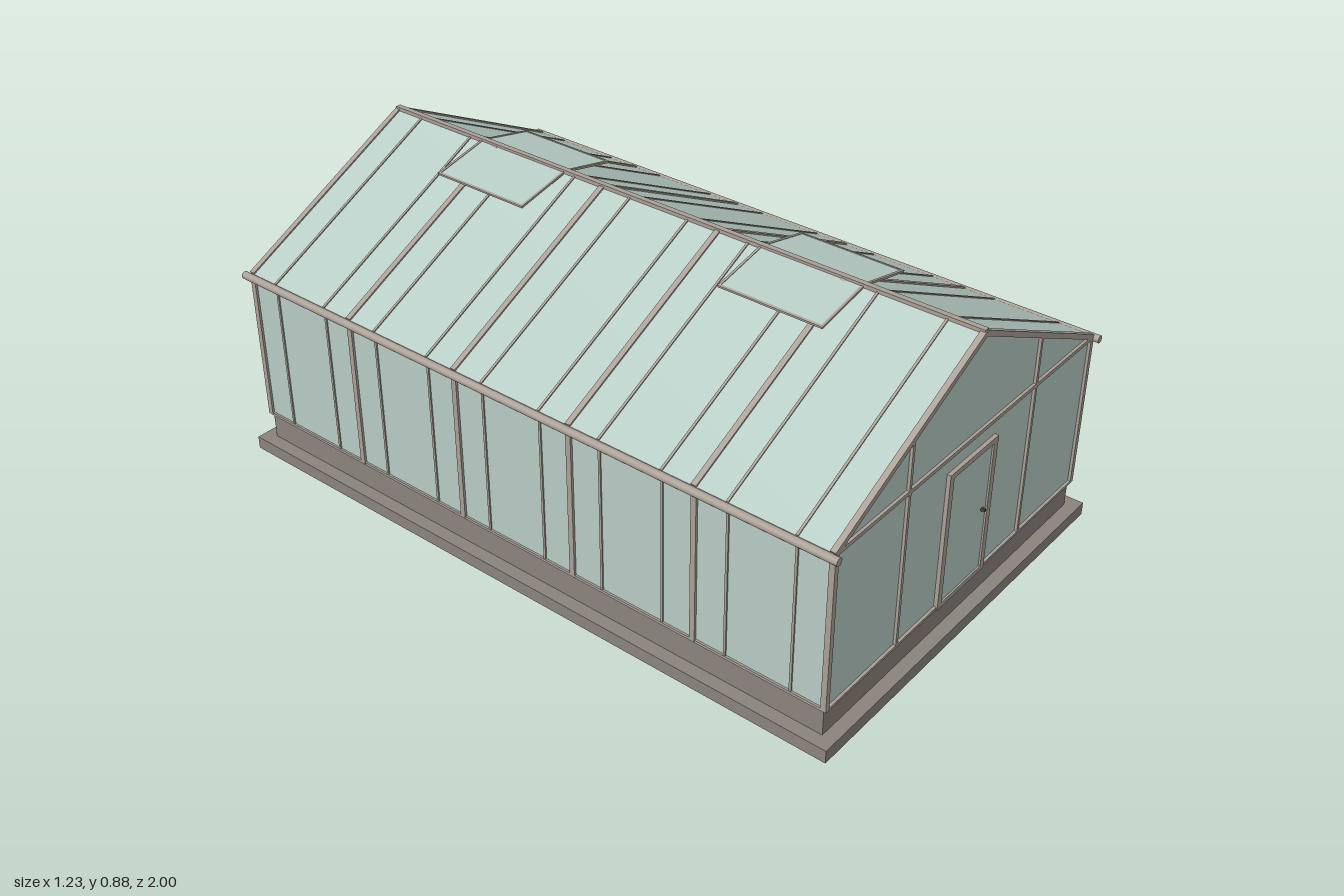
import * as THREE from 'three';

export function createModel() {
  const model = new THREE.Group();
  model.name = 'greenhouse';
  const material = (name, color) => {
    const m = new THREE.MeshStandardMaterial({ color });
    m.name = name;
    return m;
  };
  const glass = material('pale green glass', 0xb7cdc5);
  const frame = material('warm grey frame', 0xaaa097);
  const concrete = material('grey concrete', 0x8a857c);
  const dark = material('dark metal', 0x4a4845);

  const add = (name, geometry, mat, x = 0, y = 0, z = 0) => {
    const mesh = new THREE.Mesh(geometry, mat);
    mesh.name = name;
    mesh.position.set(x, y, z);
    model.add(mesh);
    return mesh;
  };
  const box = (name, mat, w, h, d, x, y, z) =>
    add(name, new THREE.BoxGeometry(w, h, d), mat, x, y, z);
  // Straight member between two points in the x-y plane; depth runs along z
  const member = (name, mat, [x1, y1], [x2, y2], thick, depth, z) => {
    const mesh = box(name, mat, Math.hypot(x2 - x1, y2 - y1), thick, depth,
      (x1 + x2) / 2, (y1 + y2) / 2, z);
    mesh.rotation.z = Math.atan2(y2 - y1, x2 - x1);
    return mesh;
  };

  const W = 0.575, L = 0.965, SILL = 0.118, EAVE = 0.578, RIDGE = 0.866;

  // Foundation
  box('foundationSlab', concrete, 1.23, 0.038, 2, 0, 0.019, 0);
  box('plinthWall', concrete, 1.154, 0.08, 1.925, 0, 0.078, 0);

  // Gable walls
  const gable = new THREE.Shape([[-W, SILL], [W, SILL], [W, EAVE], [0, RIDGE], [-W, EAVE]]
    .map(([x, y]) => new THREE.Vector2(x, y)));
  const gableGeometry = new THREE.ExtrudeGeometry(gable, { depth: 0.006, bevelEnabled: false });
  for (const s of [-1, 1]) {
    add('gableGlass', gableGeometry, glass, 0, 0, s * 0.962 - 0.003);
    box('gableSill', frame, 1.16, 0.008, 0.016, 0, SILL + 0.002, s * L);
    box('gableTie', frame, 1.16, 0.011, 0.016, 0, EAVE, s * L);
  }
  for (const x of [-0.288, 0.288])
    box('frontMullion', frame, 0.009, 0.6, 0.016, x, SILL + 0.3, L);

  // Side walls and roof slopes
  for (const s of [-1, 1]) {
    const eave = [s * 0.582, EAVE], ridge = [0, RIDGE];
    box('sideGlass', glass, 0.006, EAVE - SILL, 2 * L - 0.01, s * W, (EAVE + SILL) / 2, 0);
    member('roofGlass', glass, eave, ridge, 0.006, 2 * L - 0.01, 0);
    box('sideSill', frame, 0.014, 0.008, 2 * L, s * 0.577, SILL + 0.002, 0);
    box('eaveRail', frame, 0.016, 0.014, 2 * L, s * 0.577, EAVE - 0.004, 0);

    // Main frames
    for (let i = 0; i < 6; i++) {
      const z = -L + i * L * 0.4;
      box('post', frame, 0.014, EAVE - SILL, 0.016, s * 0.578, (EAVE + SILL) / 2, z);
      member('rafter', frame, eave, ridge, 0.015, 0.016, z);
    }
    // Slim glazing bars between the frames
    for (let i = 0; i < 10; i++) {
      const z = -L + (i + 0.5) * L * 0.2;
      box('wallGlazingBar', frame, 0.012, EAVE - SILL, 0.007, s * 0.576, (EAVE + SILL) / 2, z);
      member('roofGlazingBar', frame, eave, ridge, 0.012, 0.007, z);
    }
    // Gutter
    const gutter = add('gutter', new THREE.CylinderGeometry(0.011, 0.011, 1.975, 16), frame,
      s * 0.592, 0.572, 0);
    gutter.rotation.x = Math.PI / 2;

    // Raised roof vents
    for (const z of [-0.48, 0.48]) {
      const hinge = [0, 0.869], edge = [s * 0.175, 0.831];
      member('ventGlass', glass, hinge, edge, 0.003, 0.3, z);
      for (const e of [-1, 1])
        member('ventSideFrame', frame, hinge, edge, 0.006, 0.007, z + e * 0.152);
      member('ventLowerFrame', frame, [s * 0.168, 0.8325], edge, 0.006, 0.311, z);
    }
  }
  box('ridgeBeam', frame, 0.016, 0.014, 2 * L + 0.01, 0, 0.869, 0);

  // Front door
  for (const s of [-1, 1])
    box('doorJamb', frame, 0.018, 0.41, 0.016, s * 0.101, 0.32, 0.968);
  box('doorHead', frame, 0.22, 0.016, 0.016, 0, 0.517, 0.968);
  box('doorThreshold', frame, 0.2, 0.014, 0.016, 0, 0.122, 0.968);
  box('doorGlass', glass, 0.186, 0.385, 0.006, 0, 0.32, 0.968);
  box('doorHandle', dark, 0.008, 0.008, 0.014, 0.073, 0.32, 0.975);

  return model;
}
